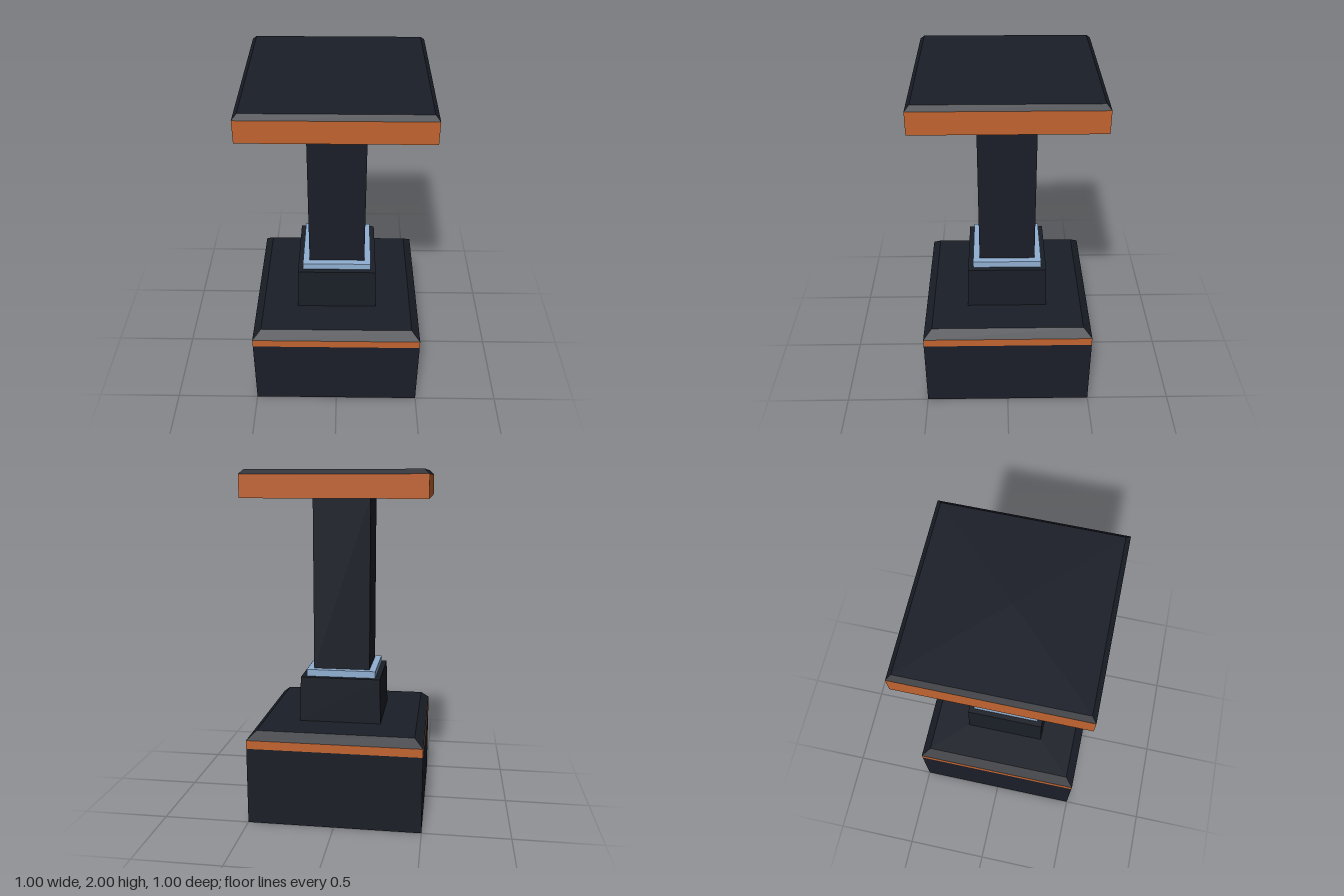
import * as THREE from 'three';

const dark = new THREE.MeshStandardMaterial({ color: 0x1a1e27, flatShading: true });
const orange = new THREE.MeshStandardMaterial({ color: 0xc1632f, flatShading: true });
const blue = new THREE.MeshStandardMaterial({ color: 0x90b0d2, flatShading: true });

// Square block between two heights, with half widths at bottom and top
function block(name, y0, y1, bottom, top, material, open = false) {
  const geometry = new THREE.CylinderGeometry(top * Math.SQRT2, bottom * Math.SQRT2, y1 - y0, 4, 1, open)
    .rotateY(Math.PI / 4)
    .toNonIndexed();
  geometry.computeVertexNormals();
  const mesh = new THREE.Mesh(geometry, material);
  mesh.name = name;
  mesh.position.y = (y0 + y1) / 2;
  return mesh;
}

export function createModel() {
  const model = new THREE.Group();
  model.name = 'pedestal';
  model.add(
    // Base with its coloured band and bevelled top
    block('base', 0, 0.45, 0.5, 0.5, dark),
    block('baseBand', 0.45, 0.5, 0.5, 0.5, orange, true),
    block('baseBevel', 0.5, 0.545, 0.5, 0.45, dark),
    // Slightly tapered plinth, collar and column
    block('plinth', 0.545, 0.81, 0.24, 0.233, dark),
    block('collar', 0.81, 0.85, 0.203, 0.203, blue),
    block('column', 0.85, 1.85, 0.165, 0.165, dark),
    // Top slab: dark core showing underneath, coloured rim, bevelled top
    block('slabCore', 1.85, 1.975, 0.499, 0.499, dark),
    block('slabRim', 1.85, 1.975, 0.5, 0.5, orange, true),
    block('slabBevel', 1.975, 2, 0.5, 0.475, dark)
  );
  return model;
}
